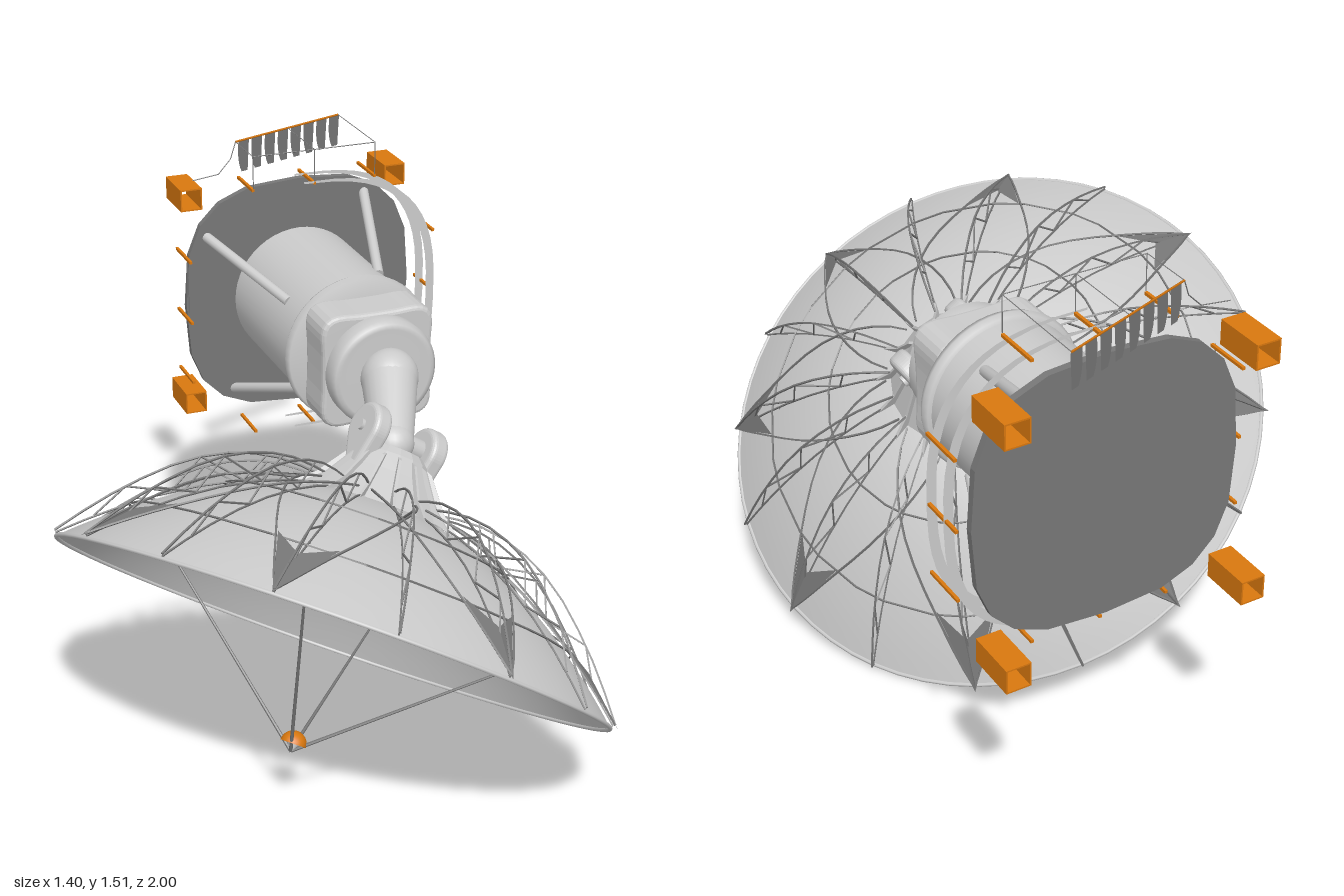
import * as THREE from 'three';
import { mergeGeometries } from 'three/addons/utils/BufferGeometryUtils.js';

const V = (x, y, z) => new THREE.Vector3(x, y, z);
const grey = new THREE.MeshStandardMaterial({ color: 0xcccccc, side: THREE.DoubleSide });
const flat = new THREE.MeshStandardMaterial({ color: 0xcccccc, side: THREE.DoubleSide, flatShading: true });
const dark = new THREE.MeshStandardMaterial({ color: 0x777777, side: THREE.DoubleSide, flatShading: true });
const orange = new THREE.MeshStandardMaterial({ color: 0xd9780f, side: THREE.DoubleSide });

function add(parent, name, geo, mat = grey, x = 0, y = 0, z = 0) {
  const m = new THREE.Mesh(geo, mat);
  m.name = name;
  m.position.set(x, y, z);
  parent.add(m);
  return m;
}

// straight bar from p to q
function bar(p, q, r0, r1 = r0, sides = 4) {
  const d = q.clone().sub(p);
  const g = new THREE.CylinderGeometry(r1, r0, d.length(), sides);
  g.applyQuaternion(new THREE.Quaternion().setFromUnitVectors(V(0, 1, 0), d.normalize()));
  const c = p.clone().add(q).multiplyScalar(0.5);
  return g.translate(c.x, c.y, c.z);
}

const polyBars = (pts, r) => pts.slice(1).map((p, i) => bar(pts[i], p, r));
const lathe = (pts, n = 48) => new THREE.LatheGeometry(pts.map(p => new THREE.Vector2(...p)), n);

function triangles(pts, index) {
  const g = new THREE.BufferGeometry().setFromPoints(pts);
  g.setIndex(index);
  g.computeVertexNormals();
  return g;
}

// strip of quads between successive pairs of points
function strip(pts) {
  const idx = [];
  for (let i = 2; i < pts.length; i += 2) idx.push(i - 2, i - 1, i + 1, i - 2, i + 1, i);
  return triangles(pts, idx);
}

// rounded-square outline point
function squarish(a, h, e = 3) {
  const f = v => Math.sign(v) * Math.abs(v) ** (2 / e);
  return new THREE.Vector2(h * f(Math.cos(a)), h * f(Math.sin(a)));
}

const R = 0.78, DEPTH = 0.38;
const depthAt = r => DEPTH * (1 - (r / R) ** 2);
// point at radius r, angle a (degrees), raised h off the back of the dish
function onDish(r, a, h = 0) {
  const s = 2 * DEPTH * r / (R * R), l = Math.hypot(s, 1), t = a * Math.PI / 180;
  const rr = r + h * s / l;
  return V(rr * Math.cos(t), depthAt(r) + h / l, rr * Math.sin(t));
}

// smooth run over the back of the dish through [radius, angle, height] points
function run(pts, n, r) {
  const c = new THREE.CatmullRomCurve3(pts.map(p => V(...p)));
  return polyBars(c.getPoints(n).map(p => onDish(p.x, p.y, p.z)), r);
}

function makeDish() {
  const g = new THREE.Group();
  g.name = 'dishAssembly';
  const bowl = [];
  for (let i = 0; i <= 20; i++) {
    const r = R * (1 - i / 20);
    bowl.push([r, depthAt(r)]);
  }
  add(g, 'reflector', lathe(bowl, 64));
  add(g, 'rim', new THREE.TorusGeometry(R, 0.006, 6, 64).rotateX(Math.PI / 2));

  // lattice on the back of the dish
  const lattice = [], plates = [];
  for (let k = 0; k < 16; k++) {
    const a = k * 22.5;
    lattice.push(...run([[0.78, a, 0.015], [0.62, a, 0.055], [0.45, a, 0.085], [0.3, a, 0.075], [0.16, a, 0.03]], 10, 0.0035));
    lattice.push(...run([[0.78, a, 0.008], [0.2, a, 0.008]], 8, 0.003));
    // web between the raised chord and the bowl
    lattice.push(...polyBars([onDish(0.7, a, 0.01), onDish(0.62, a, 0.055), onDish(0.53, a, 0.01),
      onDish(0.45, a, 0.085), onDish(0.36, a, 0.01), onDish(0.3, a, 0.075)], 0.003));
    for (const r of [0.4, 0.62]) lattice.push(...run([[r, a, 0.01], [r, a + 22.5, 0.01]], 2, 0.003));
    if (k % 2) continue;
    for (const s of [-1, 1])
      lattice.push(...run([[0.78, a, 0.014], [0.62, a + s * 7.5, 0.014], [0.4, a + s * 22.5, 0.03], [0.2, a + s * 40, 0.025]], 12, 0.0035));
    // notched plate at the rim
    const p = [onDish(0.79, a, 0.016), onDish(0.61, a - 7.5, 0.016), onDish(0.67, a, 0.022), onDish(0.61, a + 7.5, 0.016)];
    plates.push(triangles(p, [0, 1, 2, 0, 2, 3]));
  }
  add(g, 'backLattice', mergeGeometries(lattice), dark);
  add(g, 'rimPlates', mergeGeometries(plates), dark);

  // hub cone with low ridges
  add(g, 'hub', lathe([[0.2, 0.357], [0.18, 0.385], [0.13, 0.455], [0.1, 0.505], [0.08, 0.525], [0, 0.53]], 16), flat);
  const ridge = new THREE.Shape([[0.09, 0.505], [0.12, 0.49], [0.185, 0.4], [0.25, 0.345], [0.19, 0.362]].map(p => new THREE.Vector2(...p)));
  add(g, 'hubRidges', mergeGeometries(Array.from({ length: 16 }, (_, k) =>
    new THREE.ExtrudeGeometry(ridge, { depth: 0.008, bevelEnabled: false }).translate(0, 0, -0.004).rotateY(k * Math.PI / 8))), flat);

  // pair of teardrop lugs and the pivot pin
  const lug = new THREE.Shape();
  lug.absarc(0, 0, 0.055, -0.35, Math.PI + 0.35);
  lug.lineTo(-0.018, -0.1);
  lug.lineTo(0.018, -0.1);
  for (const s of [-1, 1]) {
    const e = new THREE.ExtrudeGeometry(lug, { depth: 0.026, bevelSize: 0.014, bevelThickness: 0.014, bevelSegments: 4, curveSegments: 16 });
    add(g, 'pivotLug', e.translate(0, 0, -0.013).rotateY(Math.PI / 2), grey, s * 0.1, 0.555, 0);
    add(g, 'pivotCap', new THREE.CylinderGeometry(0.016, 0.016, 0.012, 16).rotateZ(Math.PI / 2), grey, s * 0.13, 0.555, 0);
  }
  add(g, 'pivotPin', new THREE.CylinderGeometry(0.03, 0.03, 0.2, 20).rotateZ(Math.PI / 2), grey, 0, 0.555, 0);

  // central horn, feed and its four legs
  add(g, 'centralHorn', lathe([[0, 0.05], [0.028, 0.05], [0.03, 0.08], [0.022, 0.11], [0.02, 0.38]], 20));
  const tip = V(0, -0.33, 0);
  add(g, 'feedLegs', mergeGeometries([45, 135, 225, 315].map(a => bar(tip, onDish(0.6, a), 0.005, 0.003, 6))), dark);
  add(g, 'feed', new THREE.SphereGeometry(0.036, 20, 10, 0, Math.PI * 2, 0, Math.PI / 2), orange, 0, -0.31, 0);
  add(g, 'feedCone', new THREE.ConeGeometry(0.02, 0.04, 12).rotateX(Math.PI), grey, 0, -0.32, 0);

  // local y points out of the back of the dish
  const back = V(0.5, 0.78, -0.38).normalize();
  const side = V(0.78, -0.5, 0).normalize();
  g.quaternion.setFromRotationMatrix(new THREE.Matrix4().makeBasis(side, back, side.clone().cross(back)));
  g.position.set(-0.02, 0.49, 0.26);
  return g;
}

// body whose axis lies along z
function makeBody() {
  const g = new THREE.Group();
  g.name = 'body';
  g.position.set(0.31, 1.02, 0);
  const alongZ = pts => lathe(pts).rotateX(Math.PI / 2);
  add(g, 'mainCylinder', alongZ([[0.205, -0.84], [0.205, -0.38]]));
  add(g, 'flange', alongZ([[0.19, -0.39], [0.215, -0.385], [0.222, -0.37], [0.215, -0.35], [0.14, -0.345]]));
  add(g, 'frontCollar', alongZ([[0.15, -0.24], [0.158, -0.225], [0.158, -0.18], [0.148, -0.17], [0.135, -0.165], [0.12, -0.17], [0, -0.165]]));

  const neck = new THREE.Shape(Array.from({ length: 48 }, (_, i) => {
    const a = i * Math.PI / 24;
    return squarish(a, 0.162 - 0.01 * Math.cos(4 * a), 4);
  }));
  add(g, 'neckHousing', new THREE.ExtrudeGeometry(neck, { depth: 0.11, bevelSize: 0.012, bevelThickness: 0.015, bevelSegments: 3 }), grey, 0, 0, -0.345);

  const panel = new THREE.Shape(Array.from({ length: 20 }, (_, i) => squarish(i * Math.PI / 10, 0.36, 2.9)));
  add(g, 'backPanel', new THREE.ExtrudeGeometry(panel, { depth: 0.02, bevelEnabled: false }), dark, 0, 0, -0.86);

  // diagonal braces between panel and cylinder
  for (const d of [54, 144, 234, 324]) {
    const a = d * Math.PI / 180, c = Math.cos(a), s = Math.sin(a);
    add(g, 'brace', bar(V(0.36 * c, 0.36 * s, -0.845), V(0.2 * c, 0.2 * s, -0.5), 0.015, 0.015, 12));
  }

  // flat bands curving round one side of the panel
  for (const z of [-0.71, -0.79]) {
    const p = [];
    for (let i = 0; i <= 28; i++) {
      const t = i / 28, a = (-95 + 187 * t) * Math.PI / 180, w = 0.006 + 0.02 * Math.sin(Math.PI * t);
      for (const h of [0.392 - w, 0.392]) {
        const q = squarish(a, h, 2.7);
        p.push(V(q.x, q.y, z));
      }
    }
    add(g, 'sideBand', strip(p));
  }

  // slim coloured pins, three along each side of the panel
  for (let k = 0; k < 4; k++) for (const o of [-0.19, 0, 0.19]) {
    const q = new THREE.Vector2(0.385, o).rotateAround(new THREE.Vector2(), k * Math.PI / 2);
    add(g, 'sidePin', new THREE.BoxGeometry(0.008, 0.008, 0.13), orange, q.x, q.y, -0.775);
  }

  // open square tubes behind the corners
  for (const x of [-0.33, 0.32]) for (const y of [-0.33, 0.325]) {
    const walls = [-1, 1].flatMap(s => [
      new THREE.BoxGeometry(0.066, 0.004, 0.14).translate(0, s * 0.031, 0),
      new THREE.BoxGeometry(0.004, 0.066, 0.14).translate(s * 0.031, 0, 0)]);
    add(g, 'cornerTube', mergeGeometries(walls), orange, x, y, -0.93);
  }

  // row of curved vanes above the panel, slanting backwards to the left
  const rowZ = x => -0.86 - 0.37 * (x + 0.19);
  for (let i = 0; i < 8; i++) {
    const p = [];
    for (let j = 0; j <= 6; j++) {
      const t = j / 6, x1 = -0.148 + i * 0.048 + 0.006 * t, x0 = x1 - 0.038 + 0.016 * (1 - t) ** 3;
      for (const x of [x0, x1]) p.push(V(x, 0.392 + 0.093 * t, rowZ(x)));
    }
    add(g, 'vane', strip(p), dark);
  }
  add(g, 'vaneRail', bar(V(-0.19, 0.487, rowZ(-0.19)), V(0.19, 0.487, rowZ(0.19)), 0.003), orange);

  // thin wires around the vanes and on the far side
  const wires = [-0.19, 0, 0.19].flatMap(x => [
    bar(V(x, 0.487, -0.71), V(x, 0.487, rowZ(x)), 0.0015), bar(V(x, 0.39, -0.71), V(x, 0.487, -0.71), 0.0015)]);
  wires.push(bar(V(-0.19, 0.487, -0.71), V(0.19, 0.487, -0.71), 0.0015));
  wires.push(...polyBars([V(-0.33, 0.39, -0.845), V(-0.25, 0.4, -0.845), V(-0.21, 0.44, -0.85), V(-0.19, 0.487, -0.86)], 0.0015));
  wires.push(bar(V(-0.395, 0.03, -0.71), V(-0.395, 0.19, -0.71), 0.002));
  add(g, 'vaneFrame', mergeGeometries(wires), dark);
  return g;
}

export function createModel() {
  const model = new THREE.Group();
  model.name = 'dishAntenna';
  model.add(makeDish(), makeBody());

  // tapered arm joining body and dish
  const root = V(0.315, 1.02, -0.15), end = V(0.24, 0.92, 0.05);
  add(model, 'arm', bar(root, end, 0.08, 0.058, 24));
  add(model, 'armRoot', new THREE.SphereGeometry(0.082, 24, 16), grey, ...root.toArray());
  add(model, 'armEnd', new THREE.SphereGeometry(0.06, 24, 16), grey, ...end.toArray());
  return model;
}
